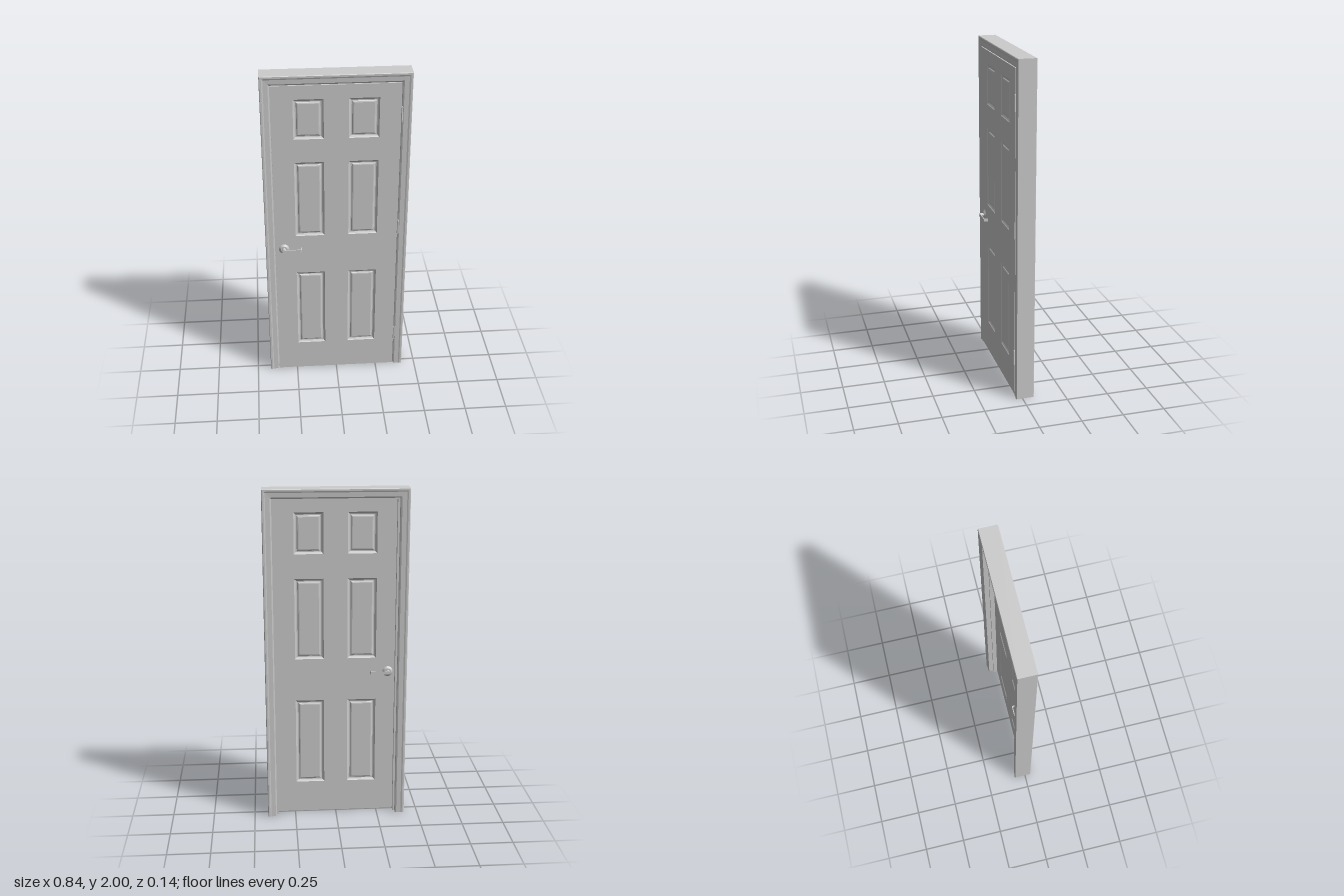
import * as THREE from 'three';

const HALF_W = 0.364, OPEN_H = 1.945;   // clear opening of the frame
const DOOR_Z = 0.013, DOOR_T = 0.04;    // centre and thickness of the leaf
const ROWS = [[0.2, 0.73], [0.99, 1.475], [1.62, 1.86]];
const COLS = [[-0.24, -0.07], [0.07, 0.24]];

function fromTriangles(points) {
  const g = new THREE.BufferGeometry();
  g.setAttribute('position', new THREE.Float32BufferAttribute(points.flat(), 3));
  g.computeVertexNormals();
  return g;
}

// Mitred casing, jamb and stop: one profile (outward offset, z) swept up, over and down
function frameGeometry() {
  const profile = [
    [0, -0.062], [0.008, -0.066], [0.034, -0.067], [0.042, -0.07], [0.051, -0.07], [0.055, -0.067],
    [0.055, 0.035], [0.052, 0.038], [0.042, 0.038], [0.034, 0.035], [0.008, 0.034], [0, 0.03],
    [0, -0.008], [-0.012, -0.008], [-0.012, -0.034], [0, -0.034],
  ];
  const stations = [
    ([d, z]) => [-HALF_W - d, 0, z],
    ([d, z]) => [-HALF_W - d, OPEN_H + d, z],
    ([d, z]) => [HALF_W + d, OPEN_H + d, z],
    ([d, z]) => [HALF_W + d, 0, z],
  ];
  const tris = [];
  for (let s = 0; s < 3; s++) {
    profile.forEach((p, i) => {
      const q = profile[(i + 1) % profile.length];
      const a0 = stations[s](p), b0 = stations[s](q);
      const a1 = stations[s + 1](p), b1 = stations[s + 1](q);
      tris.push(a0, b0, b1, a0, b1, a1);
    });
  }
  // Feet of the two jambs
  const contour = profile.map(([d, z]) => new THREE.Vector2(d, z));
  for (const [a, b, c] of THREE.ShapeUtils.triangulateShape(contour, [])) {
    tris.push(...[a, c, b].map(i => stations[0](profile[i])));
    tris.push(...[a, b, c].map(i => stations[3](profile[i])));
  }
  return fromTriangles(tris);
}

function rectPoints(x0, x1, y0, y1) {
  return [[x0, y0], [x1, y0], [x1, y1], [x0, y1]];
}

// Door leaf with openings where the panels sit
function leafGeometry() {
  const toPath = (pts, Type) => new Type(pts.map(([x, y]) => new THREE.Vector2(x, y)));
  const shape = toPath(rectPoints(-0.362, 0.36, 0.004, 1.942), THREE.Shape);
  for (const [y0, y1] of ROWS) for (const [x0, x1] of COLS) {
    shape.holes.push(toPath(rectPoints(x0, x1, y0, y1).reverse(), THREE.Path));
  }
  const g = new THREE.ExtrudeGeometry(shape, { depth: DOOR_T, bevelEnabled: false });
  return g.translate(0, 0, -DOOR_T / 2);
}

// Raised panel: moulded groove, sloping border and flat field
function panelGeometry(x0, x1, y0, y1) {
  const steps = [[0, 0], [0.004, -0.004], [0.012, -0.009], [0.018, -0.009], [0.022, -0.005], [0.028, -0.003]];
  const rings = steps.map(([i, z]) =>
    rectPoints(x0 + i, x1 - i, y0 + i, y1 - i).map(([x, y]) => [x, y, z + DOOR_T / 2]));
  const tris = [];
  for (let r = 0; r < rings.length - 1; r++) {
    const o = rings[r], n = rings[r + 1];
    for (let j = 0; j < 4; j++) {
      const k = (j + 1) % 4;
      tris.push(o[j], o[k], n[k], o[j], n[k], n[j]);
    }
  }
  const f = rings[rings.length - 1];
  tris.push(f[0], f[1], f[2], f[0], f[2], f[3]);
  return fromTriangles(tris);
}

// Lever bent from a flat bar, with its end returning toward the door
function leverGeometry() {
  const pts = [[0, 0.029], [0.1, 0.029], [0.1, 0.007], [0.105, 0.007], [0.105, 0.031], [0.102, 0.034], [0, 0.034]];
  const g = new THREE.ExtrudeGeometry(new THREE.Shape(pts.map(p => new THREE.Vector2(...p))),
    { depth: 0.018, bevelEnabled: false });
  return g.rotateX(Math.PI / 2).translate(0, 0.009, 0);
}

export function createModel() {
  const model = new THREE.Group();
  model.name = 'panelDoor';
  const paint = new THREE.MeshStandardMaterial({ color: 0xcccccc });
  paint.name = 'light grey';

  const add = (parent, name, geometry, x = 0, y = 0, z = 0) => {
    const mesh = new THREE.Mesh(geometry, paint);
    mesh.name = name;
    mesh.position.set(x, y, z);
    parent.add(mesh);
    return mesh;
  };

  add(model, 'doorFrame', frameGeometry());

  const door = new THREE.Group();
  door.name = 'door';
  door.position.z = DOOR_Z;
  model.add(door);
  add(door, 'doorLeaf', leafGeometry());

  // Six panels on each face
  for (const side of ['front', 'back']) {
    for (const [y0, y1] of ROWS) for (const [x0, x1] of COLS) {
      const panel = add(door, side + 'Panel', panelGeometry(x0, x1, y0, y1));
      if (side === 'back') panel.rotation.y = Math.PI;
    }
  }

  // Handle on each face, the back one turned over about the x axis
  for (const side of ['front', 'back']) {
    const handle = new THREE.Group();
    handle.name = side + 'Handle';
    const s = side === 'front' ? 1 : -1;
    handle.position.set(-0.311, 0.904, s * DOOR_T / 2);
    if (s < 0) handle.rotation.x = Math.PI;
    door.add(handle);
    const rose = new THREE.CylinderGeometry(0.02, 0.031, 0.009, 32).rotateX(Math.PI / 2);
    add(handle, 'rose', rose, 0, 0, 0.0045);
    const stem = new THREE.CylinderGeometry(0.011, 0.011, 0.035, 24).rotateX(Math.PI / 2);
    add(handle, 'stem', stem, 0, 0, 0.0185);
    add(handle, 'lever', leverGeometry());
  }

  // Three hinge knuckles on the front, each with two end caps
  for (const y of [0.245, 1.03, 1.755]) {
    add(model, 'hingeKnuckle', new THREE.CylinderGeometry(0.005, 0.005, 0.086, 12), 0.363, y, 0.036);
    for (const s of [-1, 1]) {
      add(model, 'hingeCap', new THREE.CylinderGeometry(0.0035, 0.0035, 0.006, 12), 0.363, y + s * 0.045, 0.036);
    }
  }
  return model;
}
